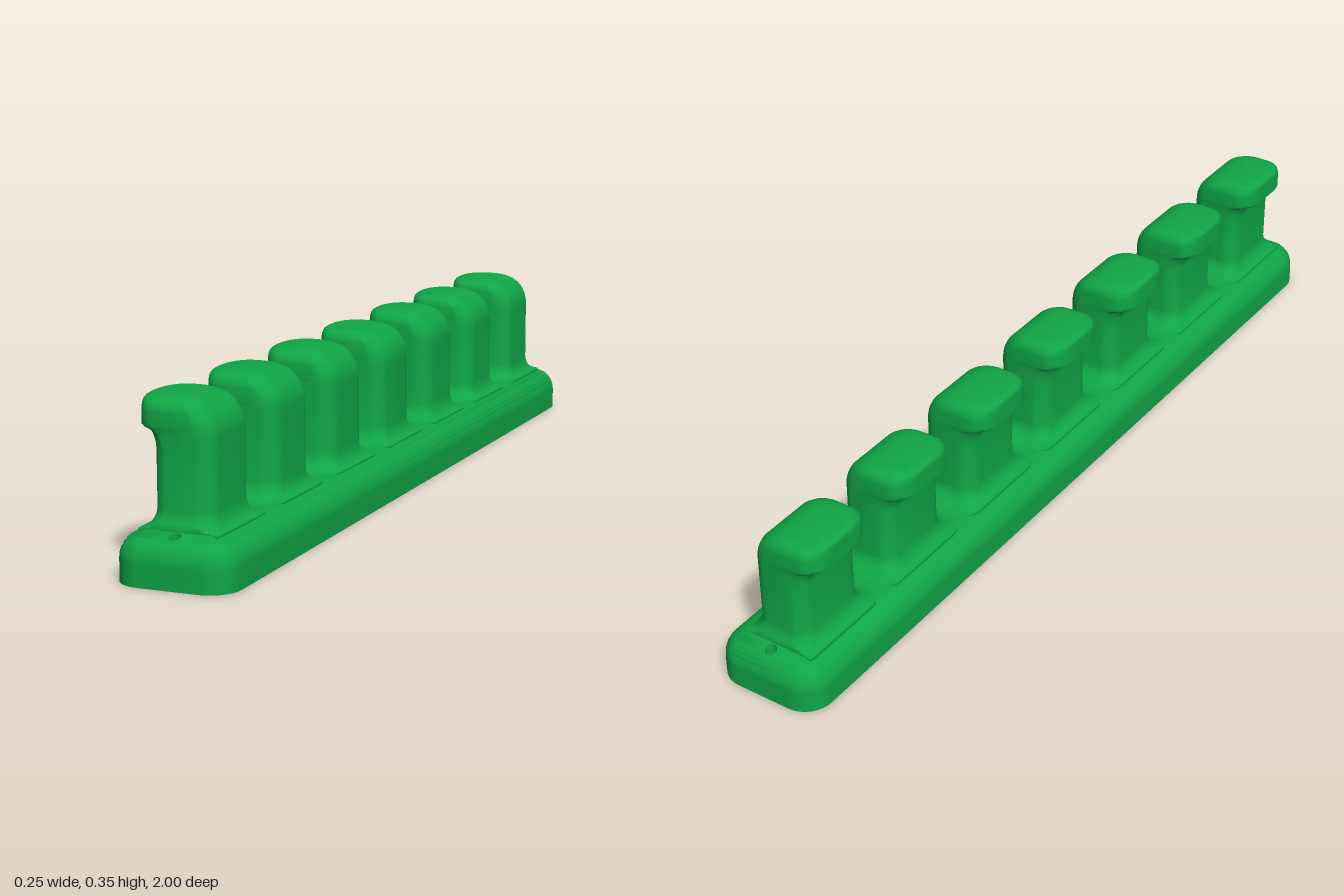
import * as THREE from 'three';
import { mergeVertices, toCreasedNormals } from 'three/addons/utils/BufferGeometryUtils.js';

const HX = 0.123, HZ = 1, CORNER = 0.06, WALL = 0.045, ROUND = 0.055;
const HOLE_Z = 0.965, HOLE_R = 0.012;

// Closed rings of [x, y, z], anticlockwise from above, joined from bottom to top.
function loft(rings) {
  const n = rings[0].length, index = [];
  for (let i = 0; i < rings.length - 1; i++) {
    for (let j = 0; j < n; j++) {
      const a = i * n + j, b = i * n + (j + 1) % n;
      index.push(a, b, b + n, a, b + n, a + n);
    }
  }
  const g = new THREE.BufferGeometry();
  g.setAttribute('position', new THREE.Float32BufferAttribute(rings.flat(2), 3));
  g.setIndex(index);
  g.computeVertexNormals();
  return g;
}

// Rounded rectangle with separate corner radii at its left and right ends.
function ring(x0, x1, hz, left, right, y) {
  const pts = [], steps = 8;
  for (let c = 0; c < 4; c++) {
    const [sx, sz] = [[1, -1], [-1, -1], [-1, 1], [1, 1]][c];
    const [rx, rz] = sx > 0 ? right : left;
    const cx = sx > 0 ? x1 - rx : x0 + rx, cz = sz * (hz - rz);
    for (let k = 0; k <= steps; k++) {
      const a = (c + k / steps) * Math.PI / 2;
      pts.push([cx + rx * Math.cos(a), y, cz - rz * Math.sin(a)]);
    }
  }
  return pts;
}

function baseRing(inset, y) {
  const r = CORNER - inset;
  return ring(-HX + inset, HX - inset, HZ - inset, [r, r], [r, r], y);
}

// Distance in from the outline, and the outward direction there.
function edgeInfo(x, z) {
  const qx = Math.abs(x) - (HX - CORNER), qz = Math.abs(z) - (HZ - CORNER);
  const mx = Math.max(qx, 0), mz = Math.max(qz, 0), len = Math.hypot(mx, mz);
  const d = CORNER - len - Math.min(Math.max(qx, qz), 0);
  return { d, nx: len ? Math.sign(x) * mx / len : 0, nz: len ? Math.sign(z) * mz / len : 0 };
}

function topHeight(x, z) {
  const s = Math.min(1, Math.max(0, 1 - edgeInfo(x, z).d / ROUND));
  return WALL + ROUND * Math.sqrt(1 - s * s);
}

const outline = inset => baseRing(inset, 0).map(p => new THREE.Vector2(p[0], -p[2]));

function addScrewHoles(shape) {
  for (const s of [-1, 1]) {
    shape.holes.push(new THREE.Path().absarc(0, s * HOLE_Z, HOLE_R, 0, Math.PI * 2, true));
  }
}

// One band of the rounded top edge, raised and shaded by the rounding rule.
function topBand(outer, inner, holes) {
  const shape = new THREE.Shape(outline(outer));
  if (inner !== null) shape.holes.push(new THREE.Path(outline(inner)));
  if (holes) addScrewHoles(shape);
  const g = new THREE.ShapeGeometry(shape, 12).rotateX(-Math.PI / 2);
  const p = g.attributes.position, nor = g.attributes.normal;
  for (let i = 0; i < p.count; i++) {
    const x = p.getX(i), z = p.getZ(i), e = edgeInfo(x, z);
    const s = Math.min(1, Math.max(0, 1 - e.d / ROUND));
    p.setY(i, topHeight(x, z));
    nor.setXYZ(i, e.nx * s, Math.sqrt(1 - s * s), e.nz * s);
  }
  return g;
}

// Hooked peg: horizontal sections with a flared foot and an overhanging head.
function pegGeometry(zc) {
  const ys = [0.085, 0.1, 0.103, 0.108, 0.115, 0.125, 0.137, 0.25, 0.262, 0.271, 0.279,
    0.285, 0.288, 0.29, 0.294, 0.302, 0.312, 0.32, 0.328, 0.335, 0.34, 0.344, 0.347, 0.348];
  const arc = t => 1 - Math.sqrt(Math.max(0, 1 - t * t));
  const up = (y, a, b) => Math.min(1, Math.max(0, (y - a) / (b - a)));
  const rings = ys.map(y => {
    const foot = arc(1 - up(y, 0.1, 0.137));
    let x0 = -0.063 - 0.024 * foot - 0.027 * arc(up(y, 0.25, 0.288));
    x0 -= 0.01 * Math.sqrt(up(y, 0.288, 0.294));
    x0 += 0.011 * arc(up(y, 0.337, 0.348));
    const x1 = 0.061 + 0.022 * foot - 0.071 * arc(up(y, 0.275, 0.348));
    const hz = 0.092 + 0.038 * foot - 0.028 * arc(up(y, 0.32, 0.348));
    const head = up(-x0, 0.063, 0.09) * up(y, 0.25, 0.288);
    const r = Math.min(0.04, (x1 - x0) / 2);
    const pts = ring(x0, x1, hz, [Math.min(r, 0.034 + 0.006 * head), 0.036 + 0.026 * head], [r, 0.04], y);
    // the end pegs' feet stop short of the screw holes
    return pts.map(([x, py, z]) => [x, py, Math.min(0.95, Math.max(-0.95, z + zc))]);
  });
  rings.push(rings[rings.length - 1].map(() => [-0.045, 0.348, zc]));
  return toCreasedNormals(mergeVertices(loft(rings).deleteAttribute('normal'), 1e-5), 0.7);
}

export function createModel() {
  const model = new THREE.Group();
  model.name = 'pegRack';
  const green = new THREE.MeshStandardMaterial({ color: 0x10a547 });
  green.name = 'green';
  const greenInside = green.clone();
  greenInside.side = THREE.DoubleSide;

  const add = (parent, name, geometry, material = green) => {
    const m = new THREE.Mesh(geometry, material);
    m.name = name;
    parent.add(m);
  };

  // Base bar
  const base = new THREE.Group();
  base.name = 'base';
  model.add(base);
  add(base, 'baseWall', loft([baseRing(0, 0), baseRing(0, WALL)]));
  const insets = [0, 0.001, 0.004, 0.009, 0.015, 0.0215, 0.0485, 0.055];
  for (let i = 0; i < insets.length - 1; i++) {
    add(base, 'baseRoundedEdge', topBand(insets[i], insets[i + 1], i === 5));
  }
  add(base, 'baseTop', topBand(0.055, null, false));
  const under = new THREE.Shape(outline(0));
  addScrewHoles(under);
  add(base, 'baseUnderside', new THREE.ShapeGeometry(under, 12).rotateX(Math.PI / 2));

  // Screw hole linings, cut to the curve of the top
  for (const s of [-1, 1]) {
    const g = new THREE.CylinderGeometry(HOLE_R, HOLE_R, 1, 24, 1, true).translate(0, 0.5, s * HOLE_Z);
    const p = g.attributes.position;
    for (let i = 0; i < p.count; i++) {
      if (p.getY(i) > 0.5) p.setY(i, topHeight(p.getX(i), p.getZ(i)));
    }
    add(base, 'screwHole', g, greenInside);
  }

  // Row of seven pegs
  for (let i = -3; i <= 3; i++) add(model, 'peg', pegGeometry(i * 0.282));
  return model;
}
